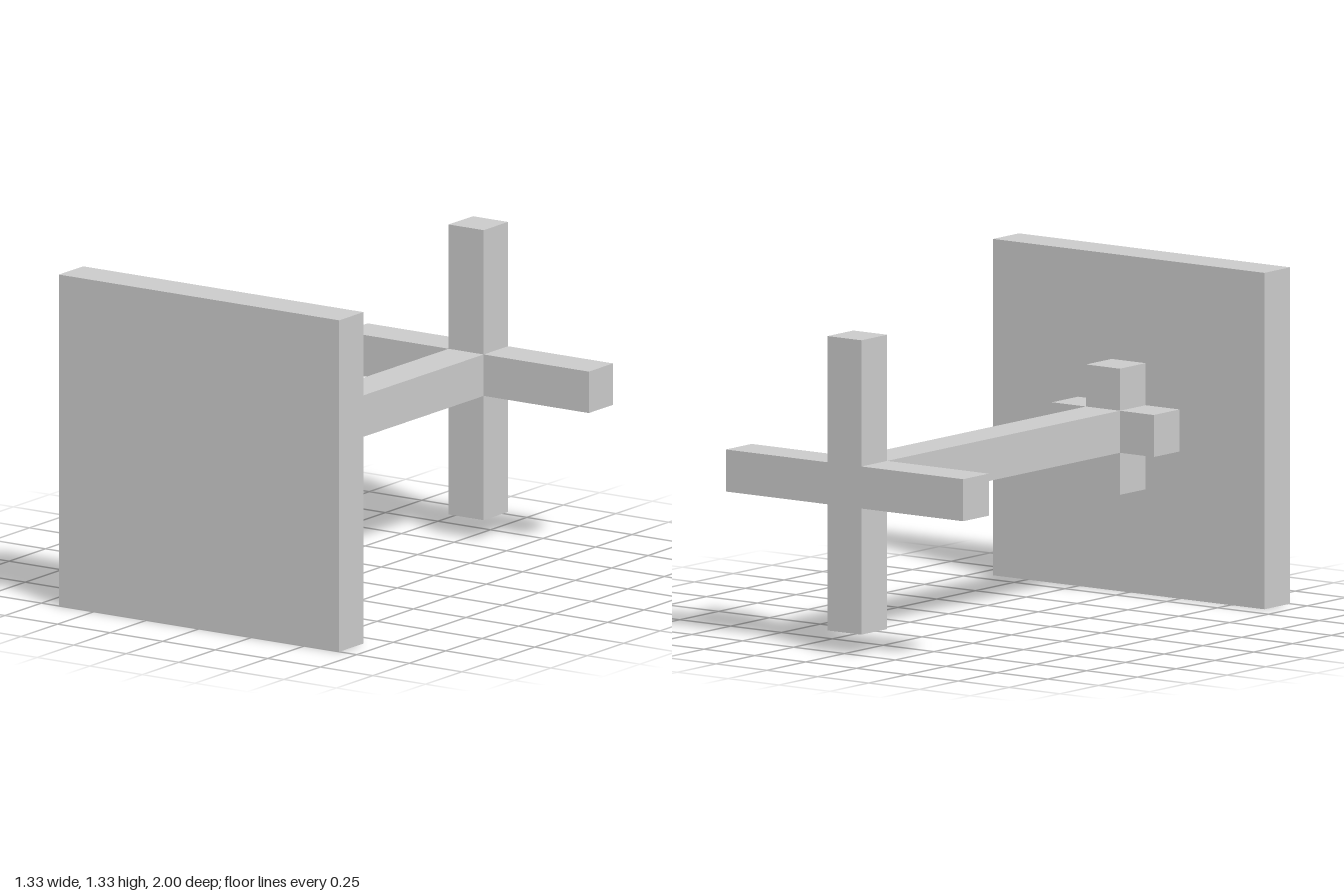
import * as THREE from 'three';

const U = 1 / 6; // thickness shared by every part
const CENTER_Y = 4 * U;

const material = new THREE.MeshStandardMaterial({ color: 0xcccccc, flatShading: true });

function addPart(group, name, geometry, z) {
  const mesh = new THREE.Mesh(geometry, material);
  mesh.name = name;
  mesh.position.set(0, CENTER_Y, z);
  group.add(mesh);
}

// Plus-shaped slab, one unit thick, centred on its own origin
function crossGeometry(span) {
  const a = U / 2, b = span / 2;
  const outline = [
    [a, a], [a, b], [-a, b], [-a, a], [-b, a], [-b, -a],
    [-a, -a], [-a, -b], [a, -b], [a, -a], [b, -a], [b, a],
  ].map(([x, y]) => new THREE.Vector2(x, y));
  const geometry = new THREE.ExtrudeGeometry(new THREE.Shape(outline), { depth: U, bevelEnabled: false });
  return geometry.translate(0, 0, -U / 2);
}

export function createModel() {
  const group = new THREE.Group();
  group.name = 'plateWithCrossHandle';

  // Square plate at the front
  addPart(group, 'frontPlate', new THREE.BoxGeometry(8 * U, 8 * U, U), 5.5 * U);

  // Small cross bracing the shaft against the plate
  addPart(group, 'mountingCross', crossGeometry(3 * U), 4.5 * U);

  // Square shaft between the two crosses
  addPart(group, 'shaft', new THREE.BoxGeometry(U, U, 9 * U), -0.5 * U);

  // Large cross handle at the back
  addPart(group, 'rearCross', crossGeometry(7 * U), -5.5 * U);

  return group;
}
